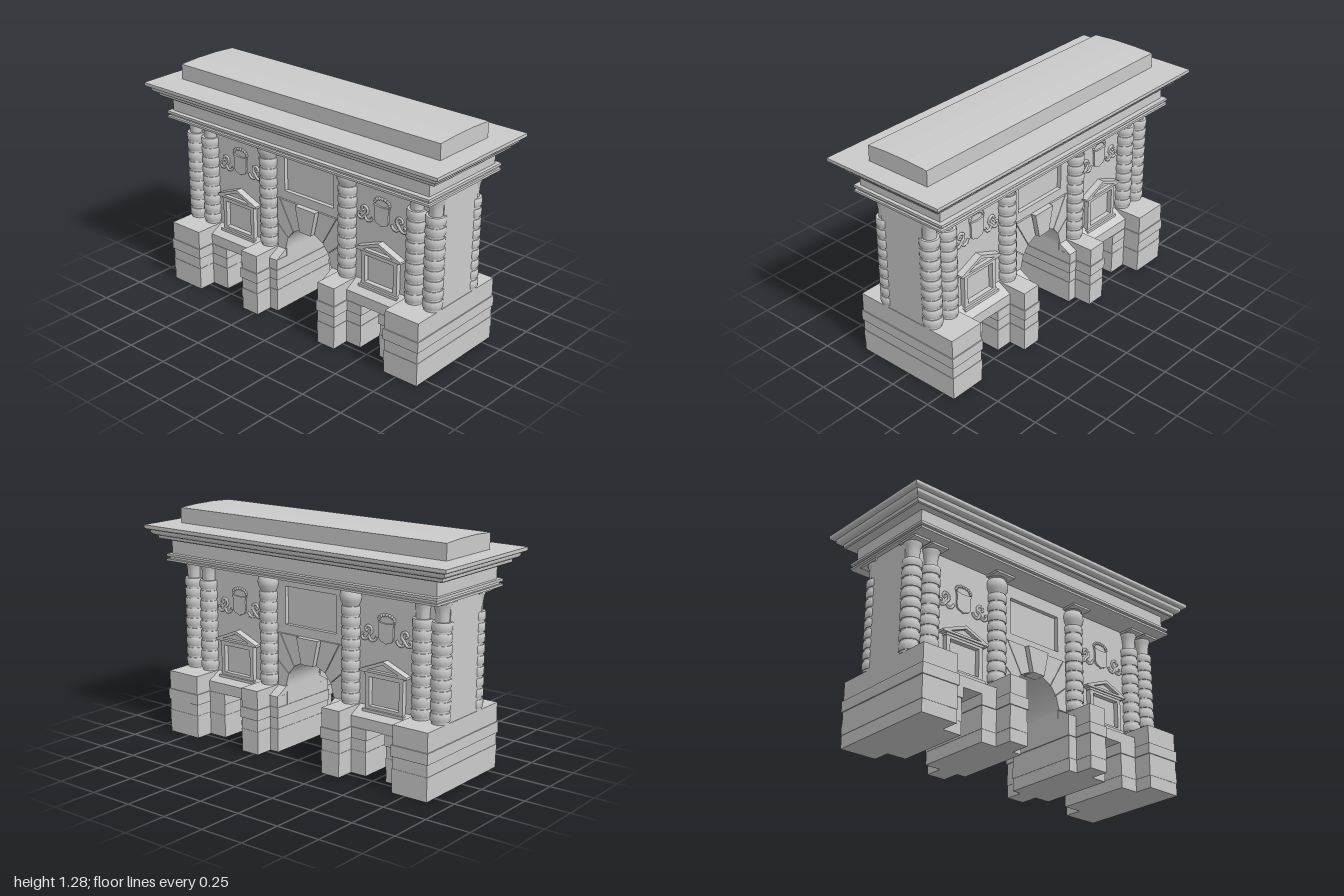
import * as THREE from 'three';
import { toCreasedNormals } from 'three/addons/utils/BufferGeometryUtils.js';

const mat = new THREE.MeshStandardMaterial({ color: 0xcccccc, side: THREE.DoubleSide });

function add(parent, name, geo, x = 0, y = 0, z = 0) {
  const m = new THREE.Mesh(geo, mat);
  m.name = name;
  m.position.set(x, y, z);
  parent.add(m);
  return m;
}

// Box given by its limits on each axis
function block(parent, name, x0, x1, y0, y1, z0, z1) {
  const g = new THREE.BoxGeometry(Math.abs(x1 - x0), y1 - y0, z1 - z0);
  return add(parent, name, g, (x0 + x1) / 2, (y0 + y1) / 2, (z0 + z1) / 2);
}

function polygon(pts) {
  return new THREE.Shape(pts.map(p => new THREE.Vector2(p[0], p[1])));
}

function extrude(parent, name, shape, z0, z1) {
  const g = new THREE.ExtrudeGeometry(shape, { depth: z1 - z0, bevelEnabled: false, curveSegments: 16 });
  return add(parent, name, g, 0, 0, z0);
}

// Moulding: rectangular rings [half width, height, half depth], closed top and bottom
function rectLoft(rings) {
  const pos = [];
  const corner = ([w, y, d], i) => [[-w, y, d], [w, y, d], [w, y, -d], [-w, y, -d]][i % 4];
  const quad = (a, b, c, d) => pos.push(...a, ...b, ...c, ...a, ...c, ...d);
  for (let k = 0; k + 1 < rings.length; k++)
    for (let i = 0; i < 4; i++)
      quad(corner(rings[k], i), corner(rings[k], i + 1), corner(rings[k + 1], i + 1), corner(rings[k + 1], i));
  const lo = rings[0], hi = rings[rings.length - 1];
  quad(corner(lo, 3), corner(lo, 2), corner(lo, 1), corner(lo, 0));
  quad(corner(hi, 0), corner(hi, 1), corner(hi, 2), corner(hi, 3));
  const g = new THREE.BufferGeometry();
  g.setAttribute('position', new THREE.Float32BufferAttribute(pos, 3));
  g.computeVertexNormals();
  return g;
}

// Wall outline with the arched opening, optionally with the recessed centre panel
function wallShape(withPanel) {
  const s = new THREE.Shape();
  s.moveTo(-0.88, 0.255);
  s.lineTo(-0.165, 0.255);
  s.lineTo(-0.165, 0.355);
  s.absarc(0, 0.355, 0.165, Math.PI, 0, true);
  s.lineTo(0.165, 0.255);
  s.lineTo(0.88, 0.255);
  s.lineTo(0.88, 0.99);
  s.lineTo(-0.88, 0.99);
  if (withPanel) s.holes.push(polygon([[-0.173, 0.705], [-0.173, 0.915], [0.173, 0.915], [0.173, 0.705]]));
  return s;
}

// Stacked stone courses, alternate ones slightly proud
const COURSES = [0, 0.07, 0.13, 0.195, 0.255];
function coursedPier(parent, name, x0, x1, depth, top) {
  const pier = new THREE.Group();
  pier.name = name;
  parent.add(pier);
  const ys = top ? [...COURSES, top] : COURSES;
  for (let i = 0; i + 1 < ys.length; i++) {
    const o = i === 3 ? 0.006 : i % 2 ? 0.002 : 0;
    block(pier, 'course', x0 - o, x1 + o, ys[i], ys[i + 1], -depth - o, depth + o);
  }
}

// Banded column; the inner ones have a bulbous capital
function column(parent, x, bulbous) {
  const g = new THREE.Group();
  g.name = 'column';
  g.position.set(x, 0, 0.15);
  parent.add(g);
  const shaft = [[0, 0.36]], n = 9, h = 0.52 / n;
  for (let i = 0; i < n; i++) {
    const y = 0.36 + i * h;
    shaft.push([0.046, y], [0.046, y + 0.012], [0.05, y + 0.012], [0.053, y + 0.018], [0.053, y + h - 0.006], [0.05, y + h]);
  }
  shaft.push([0, 0.88]);
  const cap = bulbous
    ? [[0.045, 0.88], [0.048, 0.89], [0.058, 0.91], [0.061, 0.93], [0.057, 0.953], [0.046, 0.97], [0.052, 0.976], [0.052, 0.98]]
    : [[0.036, 0.88], [0.037, 0.92], [0.042, 0.955], [0.048, 0.97], [0.048, 0.98]];
  const lathe = p => toCreasedNormals(new THREE.LatheGeometry(p.map(q => new THREE.Vector2(q[0], q[1])), 24), 0.7);
  add(g, 'shaft', lathe(shaft));
  add(g, 'capital', lathe(cap));
  const a = bulbous ? 0.062 : 0.05;
  block(g, 'abacus', -a, a, 0.977, 0.992, -a, 0.078);
}

// Framed niche with pediment
function aedicule(parent, cx) {
  const g = new THREE.Group();
  g.name = 'aedicule';
  g.position.set(cx, 0, 0);
  parent.add(g);
  const frame = polygon([[-0.118, 0.35], [0.118, 0.35], [0.118, 0.54], [-0.118, 0.54]]);
  frame.holes.push(polygon([[-0.094, 0.368], [-0.094, 0.524], [0.094, 0.524], [0.094, 0.368]]));
  extrude(g, 'frame', frame, 0.135, 0.168);
  block(g, 'sill', -0.128, 0.128, 0.337, 0.352, 0.135, 0.18);
  block(g, 'entablature', -0.123, 0.123, 0.538, 0.552, 0.135, 0.172);
  const pediment = polygon([[-0.147, 0.55], [0.147, 0.55], [0.147, 0.562], [0, 0.622], [-0.147, 0.562]]);
  pediment.holes.push(polygon([[-0.1, 0.563], [0, 0.603], [0.1, 0.563]]));
  extrude(g, 'pediment', pediment, 0.135, 0.18);
  extrude(g, 'tympanum', polygon([[-0.13, 0.555], [0.13, 0.555], [0, 0.61]]), 0.135, 0.158);
}

// Shield with leafy crest and scrolls
function relief(parent, cx) {
  const g = new THREE.Group();
  g.name = 'shieldRelief';
  g.position.set(cx, 0, 0);
  parent.add(g);
  const s = new THREE.Shape();
  s.moveTo(-0.052, 0.82);
  s.quadraticCurveTo(0, 0.805, 0.052, 0.82);
  s.bezierCurveTo(0.035, 0.79, 0.06, 0.73, 0.03, 0.717);
  s.quadraticCurveTo(0.012, 0.714, 0, 0.705);
  s.quadraticCurveTo(-0.012, 0.714, -0.03, 0.717);
  s.bezierCurveTo(-0.06, 0.73, -0.035, 0.79, -0.052, 0.82);
  extrude(g, 'shield', s, 0.135, 0.15);
  for (let i = 0; i < 9; i++) {
    const t = Math.PI * i / 8;
    const leaf = add(g, 'crestLeaf', new THREE.SphereGeometry(0.009, 8, 6), 0.048 * Math.cos(t), 0.832 + 0.025 * Math.sin(t), 0.143);
    leaf.scale.set(1, 1, 0.8);
  }
  const path = [[0.062, 0.735], [0.075, 0.715], [0.1, 0.712], [0.11, 0.735], [0.095, 0.752],
    [0.098, 0.778], [0.122, 0.785], [0.132, 0.765], [0.118, 0.757]];
  const leaf2 = [[0.11, 0.735], [0.13, 0.715], [0.152, 0.718], [0.155, 0.737], [0.14, 0.74]];
  for (const side of [1, -1])
    for (const line of [path, leaf2]) {
      const curve = new THREE.CatmullRomCurve3(line.map(p => new THREE.Vector3(side * p[0], p[1], 0.142)));
      add(g, 'scroll', new THREE.TubeGeometry(curve, 32, 0.008, 6));
    }
}

// Wedge stones of the arch between the opening and the spandrel edge
function archStones(parent) {
  extrude(parent, 'keystone', polygon([[-0.04, 0.51], [0.04, 0.51], [0.072, 0.655], [-0.072, 0.655]]), 0.1, 0.172);
  const stones = [
    [[0.046, 0.513], [0.104, 0.483], [0.2, 0.655], [0.079, 0.655]],
    [[0.107, 0.481], [0.143, 0.437], [0.22, 0.505], [0.22, 0.655], [0.204, 0.655]],
    [[0.145, 0.434], [0.166, 0.36], [0.22, 0.36], [0.22, 0.5]],
  ];
  for (const side of [1, -1])
    for (const st of stones) extrude(parent, 'voussoir', polygon(st.map(p => [side * p[0], p[1]])), 0.135, 0.15);
}

// Everything applied to one long face
function facade() {
  const f = new THREE.Group();
  f.name = 'facade';
  extrude(f, 'wallFacing', wallShape(true), 0.115, 0.14);
  archStones(f);
  for (const s of [1, -1]) {
    column(f, s * 0.28, true);
    column(f, s * 0.725, false);
    column(f, s * 0.84, false);
    aedicule(f, s * 0.505);
    relief(f, s * 0.5);
    // sloping ledge between base and wall
    const ledge = new THREE.ExtrudeGeometry(polygon([[-0.22, 0.31], [-0.22, 0.315], [-0.14, 0.36], [-0.1, 0.36], [-0.1, 0.31]]),
      { depth: 0.51, bevelEnabled: false });
    ledge.rotateY(Math.PI / 2);
    add(f, 'ledge', ledge, s > 0 ? 0.167 : -0.677);
  }
  return f;
}

export function createModel() {
  const model = new THREE.Group();
  model.name = 'triumphalGate';

  // Base piers, side passage lintels and column pedestals
  for (const s of [1, -1]) {
    const pier = (name, a, b, d, top) => coursedPier(model, name, Math.min(s * a, s * b), Math.max(s * a, s * b), d, top);
    pier('outerPedestal', 0.672, 0.883, 0.322, 0.36);
    pier('passagePier', 0.56, 0.672, 0.218);
    pier('archPier', 0.168, 0.43, 0.218);
    pier('columnPedestal', 0.222, 0.335, 0.322, 0.36);
    block(model, 'passageLintel', s * 0.166, s * 0.68, 0.255, 0.315, -0.22, 0.22);
  }

  // Wall core and the two faces
  extrude(model, 'wallCore', wallShape(false), -0.116, 0.116);
  const front = facade(), back = facade();
  back.rotation.y = Math.PI;
  model.add(front, back);

  // Entablature, cornice and attic
  add(model, 'architrave', rectLoft([[0.905, 0.988, 0.3], [0.905, 1, 0.3], [0.893, 1, 0.285], [0.893, 1.014, 0.285],
    [0.905, 1.014, 0.3], [0.905, 1.028, 0.3], [0.885, 1.028, 0.27]]));
  add(model, 'frieze', rectLoft([[0.885, 1.02, 0.272], [0.885, 1.12, 0.272]]));
  const cornice = [[0.05, 1.11], [0.056, 1.115], [0.058, 1.134], [0.07, 1.134], [0.078, 1.138], [0.086, 1.148], [0.088, 1.165],
    [0.1, 1.165], [0.108, 1.169], [0.112, 1.175], [0.112, 1.19]];
  add(model, 'cornice', rectLoft(cornice.map(([o, y]) => [0.888 + o, y, 0.261 + o])));
  const attic = new THREE.ExtrudeGeometry(polygon([[-0.196, 1.18], [0.196, 1.18], [0.196, 1.276], [0.07, 1.283], [-0.07, 1.283], [-0.196, 1.276]]),
    { depth: 1.77, bevelEnabled: false });
  attic.rotateY(Math.PI / 2);
  add(model, 'attic', attic, -0.885);

  return model;
}
